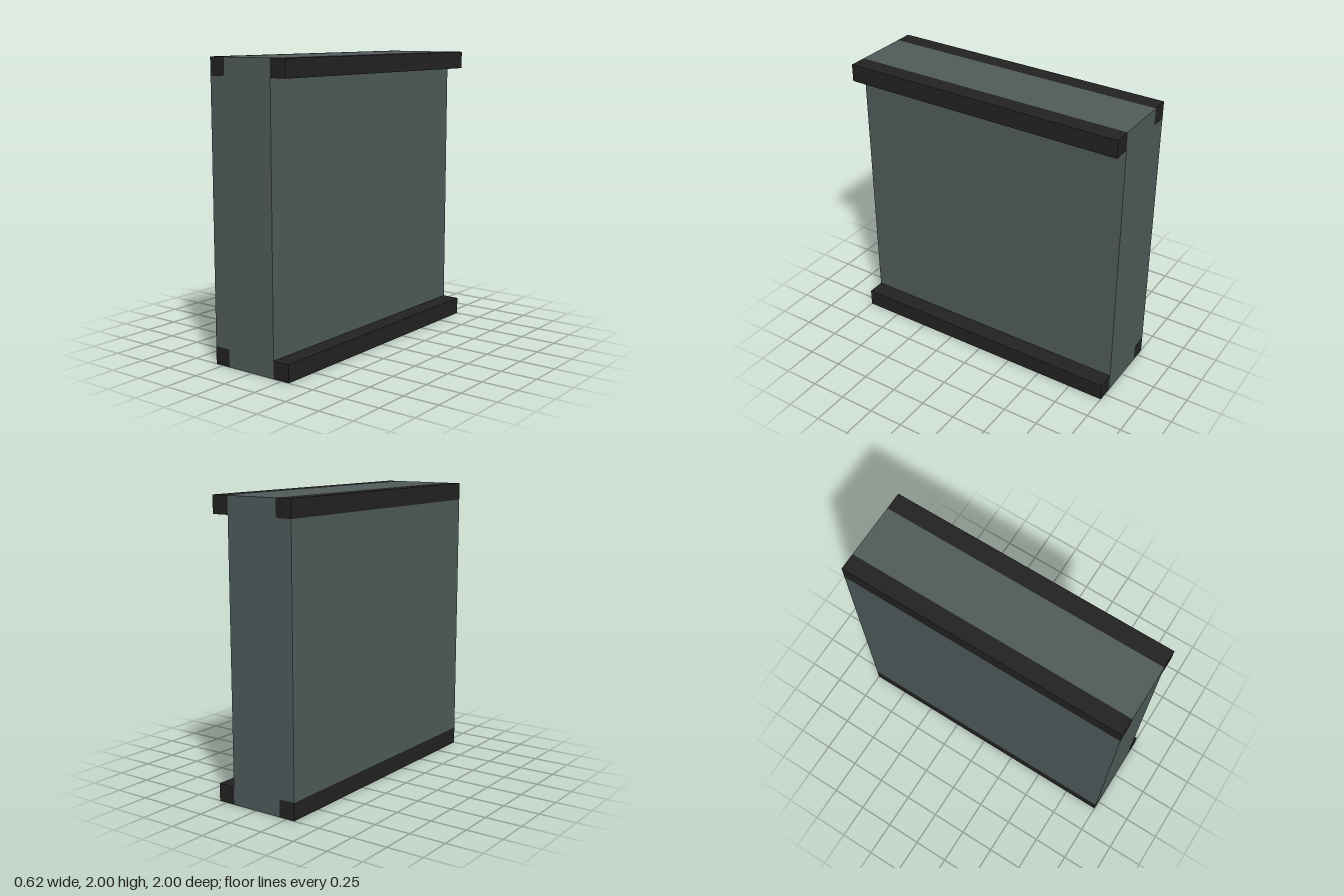
import * as THREE from 'three';

export function createModel() {
  const model = new THREE.Group();
  const slate = new THREE.MeshStandardMaterial({ color: 0x4f5b5a });
  slate.name = 'slate panel';
  const black = new THREE.MeshStandardMaterial({ color: 0x222222 });
  black.name = 'black rail';

  const half = 0.31, inner = 0.187, rail = 0.12, cut = 0.012, length = 2;

  // Extrude an x-y outline along the full depth
  const addBar = (name, points, material) => {
    const shape = new THREE.Shape(points.map(([x, y]) => new THREE.Vector2(x, y)));
    const geometry = new THREE.ExtrudeGeometry(shape, { depth: length, bevelEnabled: false });
    geometry.translate(0, 0, -length / 2);
    const mesh = new THREE.Mesh(geometry, material);
    mesh.name = name;
    model.add(mesh);
  };

  // Inner edge of a flush rail, with its small clipped corner
  const seat = [
    [-half, rail], [-inner - 0.006 - cut, rail],
    [-inner - 0.006, rail - cut], [-inner - 0.006, 0],
  ];
  const flip = ([x, y]) => [x, 2 - y];

  // Panel, with its outer corners notched for the flush rails
  addBar('panel', [
    ...seat, [inner, 0], [inner, 2], ...seat.map(flip).reverse(),
  ], slate);

  // Flush rails on the right, projecting rails on the left
  const flush = [...seat, [-half, 0]];
  const projecting = [[inner, 0], [half, 0], [half, rail], [inner, rail]];
  addBar('lowerFlushRail', flush, black);
  addBar('upperFlushRail', flush.map(flip), black);
  addBar('lowerProjectingRail', projecting, black);
  addBar('upperProjectingRail', projecting.map(flip), black);

  return model;
}
